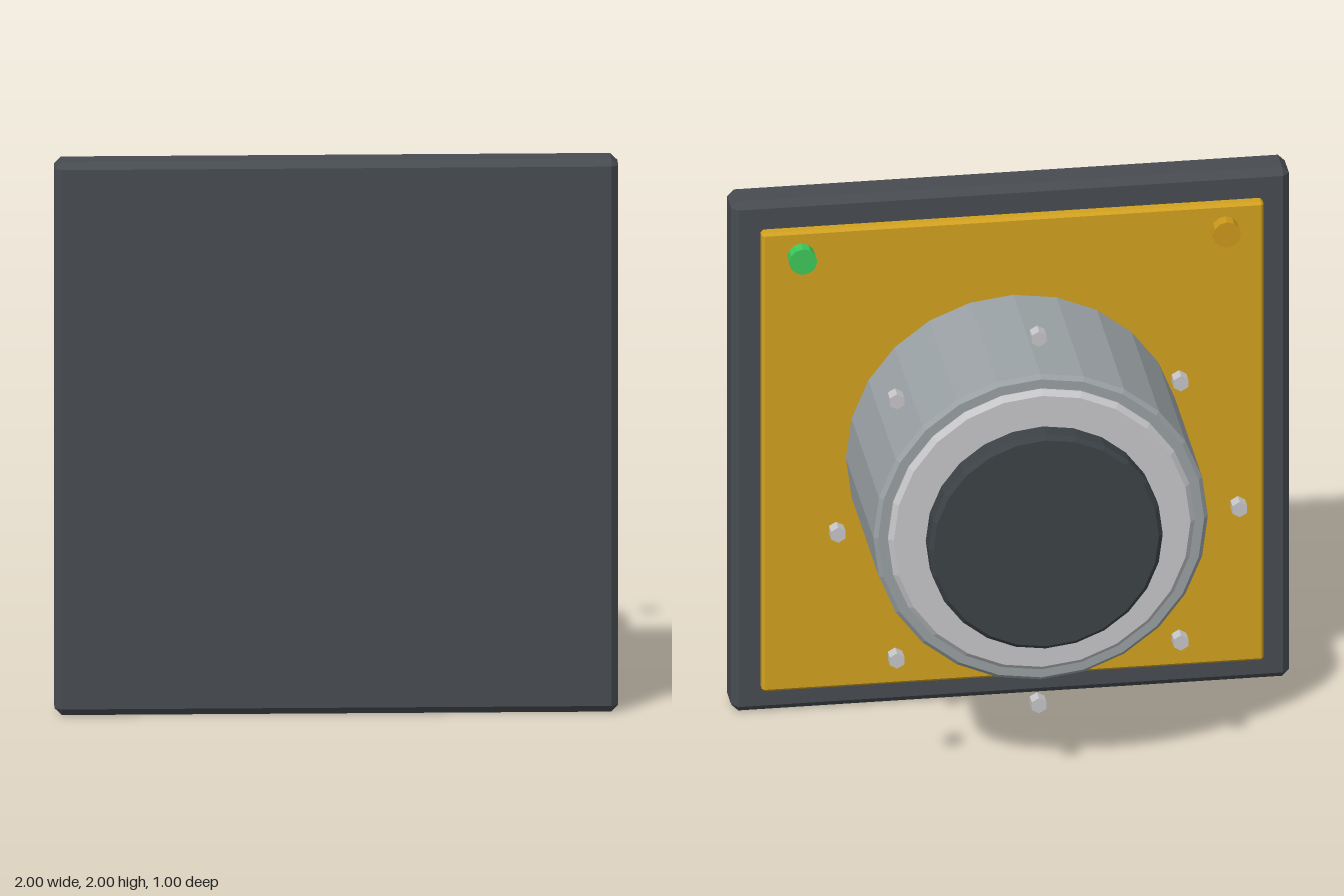
import * as THREE from 'three';
import { ConvexGeometry } from 'three/addons/geometries/ConvexGeometry.js';

const paint = (name, color) => {
  const m = new THREE.MeshStandardMaterial({ color, flatShading: true });
  m.name = name;
  return m;
};

// Box with every edge cut at 45 degrees by c
function chamferedBox(w, h, d, c) {
  const points = [];
  for (const sx of [-1, 1]) for (const sy of [-1, 1]) for (const sz of [-1, 1]) {
    const x = w / 2, y = h / 2, z = d / 2;
    points.push(
      new THREE.Vector3(sx * x, sy * (y - c), sz * (z - c)),
      new THREE.Vector3(sx * (x - c), sy * y, sz * (z - c)),
      new THREE.Vector3(sx * (x - c), sy * (y - c), sz * z));
  }
  return new ConvexGeometry(points);
}

// Disc along z from zFront back to zBack, with chamfers at either end
function disc(radius, zFront, zBack, frontCut, backCut, sides = 24) {
  const profile = [
    [0, -zFront], [radius - frontCut, -zFront], [radius, -zFront + frontCut],
    [radius, -zBack - backCut], [radius - backCut, -zBack], [0, -zBack],
  ].map(([r, y]) => new THREE.Vector2(r, y));
  return new THREE.LatheGeometry(profile, sides).rotateX(-Math.PI / 2);
}

export function createModel() {
  const model = new THREE.Group();
  model.name = 'dialPanel';

  const charcoal = paint('charcoal', 0x474c51);
  const darkGrey = paint('darkGrey', 0x3c4246);
  const gold = paint('gold', 0xd2a11f);
  const amber = paint('amber', 0xcc981c);
  const green = paint('green', 0x3ec85a);
  const steel = paint('steel', 0x9aa1a4);
  const silver = paint('silver', 0xc6c6c9);

  const add = (name, geometry, material, x = 0, y = 1, z = 0) => {
    const mesh = new THREE.Mesh(geometry, material);
    mesh.name = name;
    mesh.position.set(x, y, z);
    model.add(mesh);
  };

  // Square wall panel and the gold plate on its back
  add('basePanel', chamferedBox(2, 2, 0.15, 0.025), charcoal, 0, 1, 0.425);
  add('goldPlate', chamferedBox(1.8, 1.8, 0.05, 0.01), gold, 0, 1, 0.325);

  // Drum, its raised rim and the knob cap
  add('drumHousing', disc(0.6, 0.31, -0.375, 0, 0.015), steel);
  add('rimDisc', disc(0.55, -0.35, -0.4, 0, 0.018), silver);
  add('knobCap', disc(0.42, -0.4, -0.5, 0.016, 0.016), darkGrey);

  // Indicator lamps in the upper corners
  const lamp = new THREE.CylinderGeometry(0.05, 0.05, 0.06, 12).rotateX(Math.PI / 2);
  add('greenLamp', lamp, green, 0.76, 1.805, 0.28);
  add('amberLamp', lamp, amber, -0.76, 1.805, 0.28);

  // Ring of eight free-standing hexagonal markers
  const marker = new THREE.CylinderGeometry(0.03, 0.03, 0.05, 6).rotateX(Math.PI / 2);
  for (let i = 0; i < 8; i++) {
    const a = i * Math.PI / 4;
    add(`marker${i + 1}`, marker, silver, 0.72 * Math.cos(a), 1 + 0.72 * Math.sin(a), -0.3);
  }

  return model;
}
